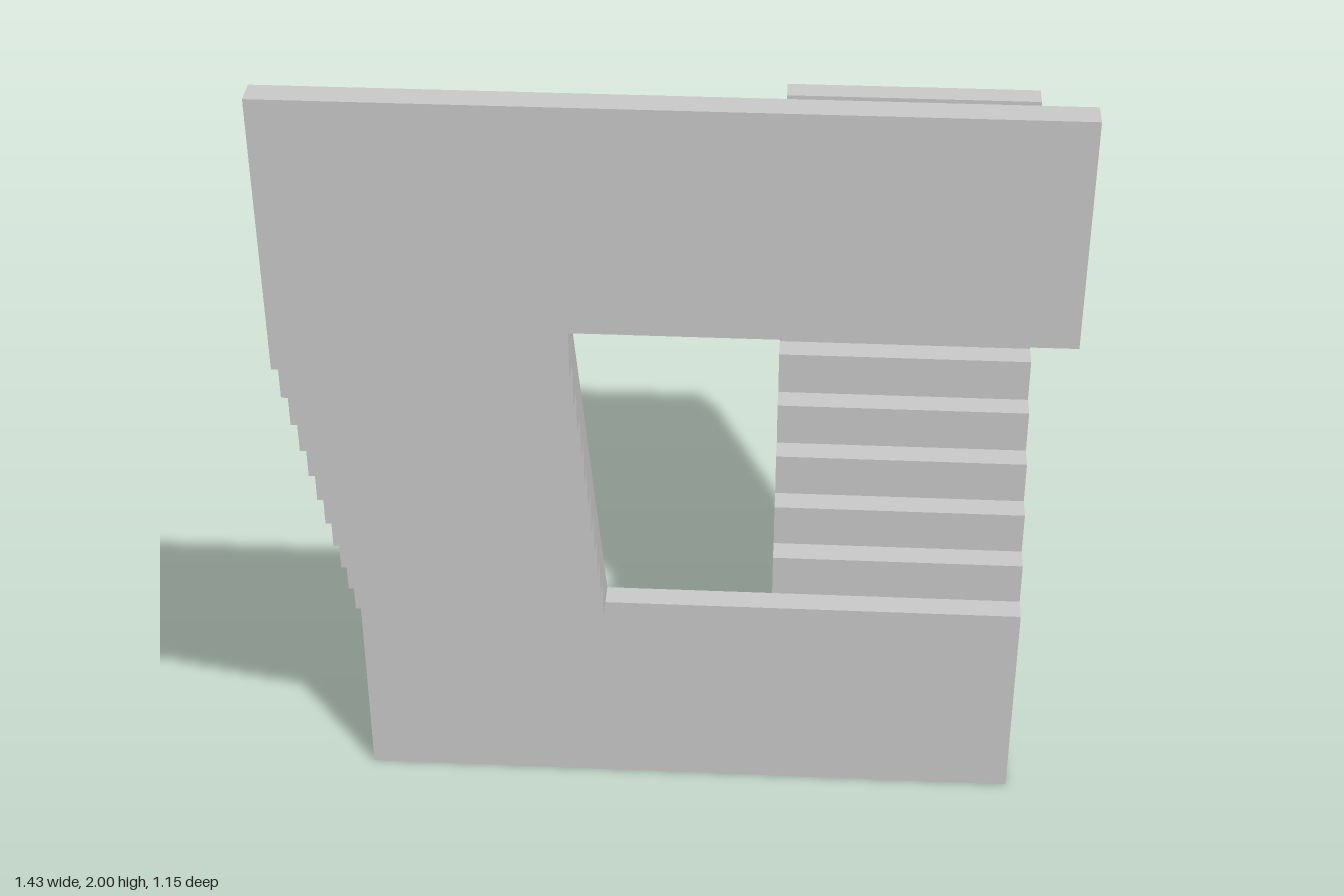
import * as THREE from 'three';
import { toCreasedNormals } from 'three/addons/utils/BufferGeometryUtils.js';

const depth = 0.0522;   // tread depth, also the panel thickness
const rise = 0.097;     // step height
const baseTop = 0.485;
const height = 2;
const outer = 0.717, inner = 0.18;   // flight edges in x

export function createModel() {
  const model = new THREE.Group();
  const material = new THREE.MeshStandardMaterial({ color: 0xcccccc });

  // Sweep a (z, y) side profile from x0 to x1; shallow bends stay smooth
  function addProfile(name, points, x0, x1) {
    const shape = new THREE.Shape(points.map(([z, y]) => new THREE.Vector2(z, y)));
    const geometry = new THREE.ExtrudeGeometry(shape, { depth: x1 - x0, bevelEnabled: false });
    geometry.rotateY(-Math.PI / 2).translate(x1, 0, 0);
    const mesh = new THREE.Mesh(toCreasedNormals(geometry, 0.6), material);
    mesh.name = name;
    model.add(mesh);
  }

  function addPanel(name, y0, y1, z0, x0, x1) {
    const geometry = new THREE.BoxGeometry(x1 - x0, y1 - y0, depth);
    const mesh = new THREE.Mesh(geometry, material);
    mesh.position.set((x0 + x1) / 2, (y0 + y1) / 2, z0 + depth / 2);
    mesh.name = name;
    model.add(mesh);
  }

  const panelBottom = baseTop + 11 * rise;

  // Inverted flight: base strip, steps on the front underside, upper strip
  const inverted = [[-depth, 0], [0, 0]];
  for (let i = 0; i <= 10; i++) {
    const y = baseTop + i * rise;
    inverted.push([i * depth, y], [(i + 1) * depth, y]);
  }
  inverted.push([11 * depth, height], [10 * depth, height], [10 * depth, panelBottom], [-depth, baseTop]);
  addProfile('invertedStair', inverted, -outer, -inner);

  // Upright flight climbing backwards, with its supporting strip
  const upright = [[-2 * depth, 0], [-depth, 0], [-depth, baseTop]];
  for (let i = 1; i <= 10; i++) {
    const y = baseTop + i * rise;
    upright.push([-i * depth, y], [-(i + 1) * depth, y]);
  }
  upright.push([-11 * depth, baseTop + 9 * rise], [-2 * depth, baseTop]);
  addProfile('uprightStair', upright, inner, outer);

  // Flat panels running across from the inverted flight
  addPanel('basePanel', 0, baseTop, -depth, -inner, outer);
  addPanel('upperPanel', panelBottom, height, 10 * depth, -inner, outer);

  return model;
}
